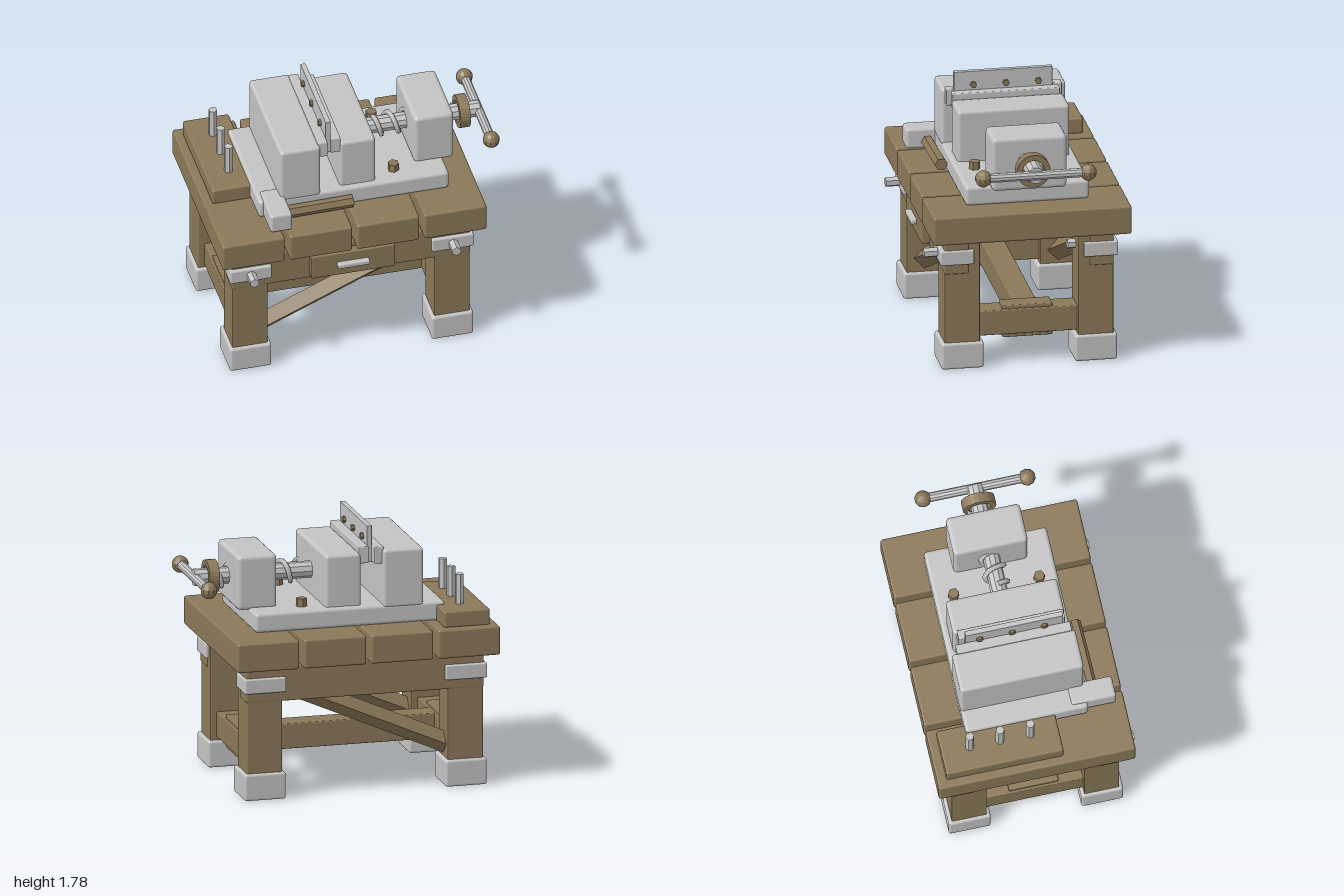
import * as THREE from 'three';
import { RoundedBoxGeometry } from 'three/addons/geometries/RoundedBoxGeometry.js';

export function createModel() {
  const model = new THREE.Group();
  model.name = 'workbenchWithVise';

  const wood = new THREE.MeshStandardMaterial({ color: 0x8b7859 });
  wood.name = 'brownWood';
  const metal = new THREE.MeshStandardMaterial({ color: 0xc4c4c4 });
  metal.name = 'paleMetal';

  const add = (name, geometry, material, x = 0, y = 0, z = 0) => {
    const mesh = new THREE.Mesh(geometry, material);
    mesh.name = name;
    mesh.position.set(x, y, z);
    model.add(mesh);
    return mesh;
  };

  // Bevelled block given by its limits on each axis
  const block = (name, material, [x0, x1], [y0, y1], [z0, z1], bevel = 0.012) =>
    add(name, new RoundedBoxGeometry(x1 - x0, y1 - y0, z1 - z0, 2, bevel), material,
      (x0 + x1) / 2, (y0 + y1) / 2, (z0 + z1) / 2);

  const faceted = (geometry) => {
    const flat = geometry.index ? geometry.toNonIndexed() : geometry;
    flat.computeVertexNormals();
    return flat;
  };

  // Faceted rod centred on a point and lying along one axis
  const rod = (name, material, axis, radius, length, x, y, z, sides = 6) => {
    const geometry = new THREE.CylinderGeometry(radius, radius, length, sides);
    if (axis === 'x') geometry.rotateZ(Math.PI / 2);
    if (axis === 'z') geometry.rotateX(Math.PI / 2);
    return add(name, faceted(geometry), material, x, y, z);
  };

  const midZ = -0.012;

  // Table top planks
  for (let i = 0; i < 4; i++) {
    const x = -1 + i * 0.466;
    block('topPlank', wood, [x, x + 0.432], [0.92, 1.12], [-0.688, 0.663], 0.016);
  }

  // Legs with metal feet, corner brackets and bolts
  for (const x of [-0.787, 0.612]) {
    for (const z of [0.45, -0.46]) {
      block('leg', wood, [x - 0.122, x + 0.122], [0.03, 0.93], [z - 0.12, z + 0.12], 0.008);
      block('foot', metal, [x - 0.144, x + 0.144], [0.005, 0.19], [z - 0.144, z + 0.144], 0.018);
      block('bracket', metal, [x - 0.144, x + 0.144], [0.748, 0.85], [z + (z > 0 ? -0.077 : -0.15), z + (z > 0 ? 0.15 : 0.082)], 0.01);
      rod('bracketBolt', metal, 'z', 0.034, 0.12, x, 0.8, z > 0 ? 0.635 : -0.345);
    }

    // Side stretcher with its joint block
    block('sideStretcher', wood, [x - 0.08, x + 0.08], [0.21, 0.385], [-0.4, 0.4], 0.008);
    block('stretcherJoint', wood, [x - 0.065, x + 0.065], [0.183, 0.41], [-0.175, 0.165], 0.008);
  }
  block('middleStretcher', wood, [-0.78, 0.6], [0.21, 0.385], [midZ - 0.08, midZ + 0.08], 0.008);

  // Aprons and the diagonal braces under them
  for (const z of [0.49, -0.5]) {
    block('apron', wood, [-0.915, 0.74], [0.68, 0.925], [z - 0.082, z + 0.082], 0.01);
    const brace = add('diagonalBrace', new THREE.BoxGeometry(1.26, 0.1, 0.1).rotateX(Math.PI / 4), wood,
      -0.165, 0.508, z > 0 ? 0.45 : -0.46);
    brace.rotation.z = Math.atan(0.44);
  }

  // Drawer
  block('drawerFront', wood, [-0.378, 0.202], [0.71, 0.89], [0.54, 0.63], 0.008);
  block('drawerHandle', metal, [-0.2, 0.02], [0.784, 0.82], [0.62, 0.668], 0.01);

  // Peg board at the back left corner
  block('pegBoard', wood, [-0.945, -0.625], [1.115, 1.23], [-0.625, 0.18], 0.015);
  for (const z of [-0.43, -0.222, -0.015]) rod('peg', metal, 'y', 0.03, 0.23, -0.785, 1.32, z);

  // Mallet lying on the bench
  block('malletHead', metal, [-0.653, -0.503], [1.13, 1.27], [0.3, 0.605], 0.02);
  const malletHandle = rod('malletHandle', wood, 'x', 0.044, 0.5, -0.295, 1.176, 0.455);
  malletHandle.rotation.y = 0.02;

  // Vise bed and bolts
  block('viseBed', metal, [-0.685, 0.635], [1.12, 1.255], [-0.435, 0.41], 0.025);
  for (const z of [-0.305, 0.283]) rod('bedBolt', wood, 'y', 0.038, 0.09, 0.28, 1.265, z);

  // Jaws, jaw liners and the clamped plate
  block('fixedJaw', metal, [-0.535, -0.255], [1.23, 1.637], [-0.437, 0.41], 0.024);
  block('movingJaw', metal, [-0.112, 0.135], [1.23, 1.612], [-0.393, 0.37], 0.024);
  block('fixedJawLiner', metal, [-0.268, -0.202], [1.535, 1.652], [-0.402, 0.386], 0.008);
  block('movingJawLiner', metal, [-0.172, -0.104], [1.535, 1.652], [-0.37, 0.36], 0.008);
  block('clampedPlate', metal, [-0.204, -0.169], [1.53, 1.783], [-0.33, 0.34], 0.002);
  for (const dz of [-0.222, 0, 0.222]) rod('plateBolt', wood, 'x', 0.023, 0.074, -0.186, 1.69, midZ + dz);

  // Screw housing, screw and helical thread
  block('screwHousing', metal, [0.437, 0.712], [1.238, 1.615], [-0.268, 0.242], 0.03);
  rod('screw', metal, 'x', 0.058, 0.85, 0.525, 1.425, midZ, 10);
  class Helix extends THREE.Curve {
    getPoint(t, target = new THREE.Vector3()) {
      const angle = t * Math.PI * 2 * 4.8;
      return target.set(0.215 + t * 0.575, Math.cos(angle) * 0.072, Math.sin(angle) * 0.072);
    }
  }
  add('screwThread', new THREE.TubeGeometry(new Helix(), 90, 0.018, 5), metal, 0, 1.425, midZ);

  // Collar ring
  const ring = new THREE.Shape().absarc(0, 0, 0.115, 0, Math.PI * 2);
  ring.holes.push(new THREE.Path().absarc(0, 0, 0.076, 0, Math.PI * 2, true));
  const ringGeometry = new THREE.ExtrudeGeometry(ring, { depth: 0.07, bevelEnabled: false, curveSegments: 12 });
  add('collarRing', ringGeometry.rotateY(Math.PI / 2), wood, 0.795, 1.425, midZ);

  // Turning bar with ball ends
  rod('turningBar', metal, 'z', 0.032, 0.72, 0.942, 1.425, midZ, 10);
  for (const side of [-1, 1]) {
    add('barKnob', faceted(new THREE.SphereGeometry(0.058, 10, 7)), wood, 0.942, 1.425, midZ + side * 0.358);
  }

  return model;
}
